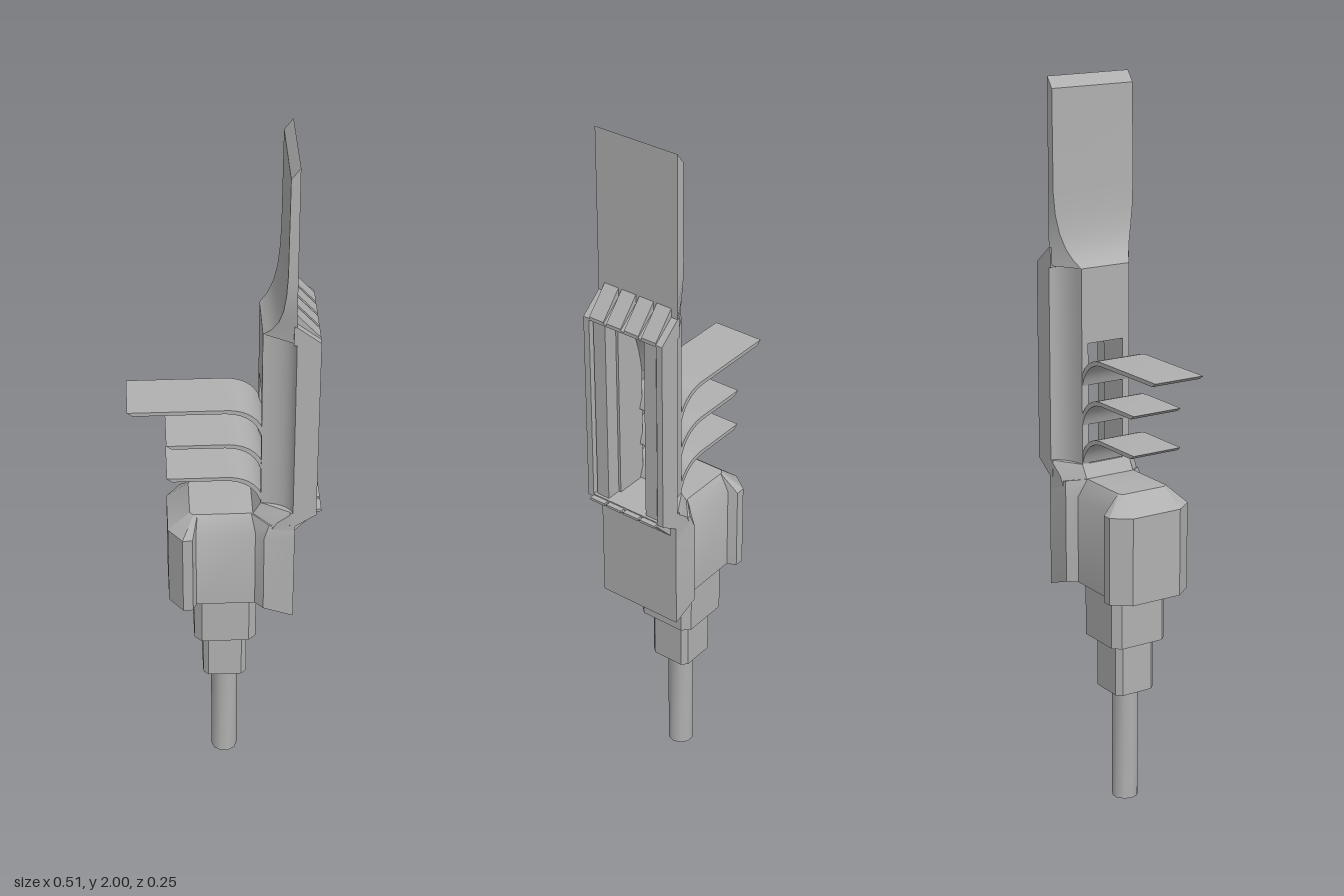
import * as THREE from 'three';
import { toCreasedNormals } from 'three/addons/utils/BufferGeometryUtils.js';

const grey = new THREE.MeshStandardMaterial({ color: 0xb0b0b0 });
grey.name = 'grey';

export function createModel() {
  const model = new THREE.Group();

  const add = (name, geometry, crease = 0.5) => {
    const g = geometry.index ? geometry.toNonIndexed() : geometry;
    const mesh = new THREE.Mesh(toCreasedNormals(g, crease), grey);
    mesh.name = name;
    model.add(mesh);
    return mesh;
  };

  // Closed loft through rings; each ring lists [x, y, z] on the +z half and is mirrored in z
  const loft = (halves) => {
    const m = halves[0].length, n = 2 * m, pos = [], idx = [];
    for (const half of halves) {
      for (const [x, y, z] of half) pos.push(x, y, z);
      for (const [x, y, z] of [...half].reverse()) pos.push(x, y, -z);
    }
    const quad = (a, b, c, d) => idx.push(a, b, c, a, c, d);
    for (let i = 0; i < halves.length - 1; i++)
      for (let j = 0; j < n; j++) {
        const k = (j + 1) % n;
        quad(i * n + j, i * n + k, (i + 1) * n + k, (i + 1) * n + j);
      }
    const top = (halves.length - 1) * n;
    for (let k = 0; k < m - 1; k++) {
      quad(top + k, top + k + 1, top + n - 2 - k, top + n - 1 - k);
      quad(n - 1 - k, n - 2 - k, k + 1, k);
    }
    const g = new THREE.BufferGeometry();
    g.setAttribute('position', new THREE.Float32BufferAttribute(pos, 3));
    g.setIndex(idx);
    return g;
  };

  // Side profile in x, y extruded along z
  const prism = (shape, width, z = 0) =>
    new THREE.ExtrudeGeometry(shape, { depth: width, bevelEnabled: false, curveSegments: 10 })
      .translate(0, 0, z - width / 2);
  const poly = (pts) => new THREE.Shape(pts.map(([x, y]) => new THREE.Vector2(x, y)));

  // Plan outline in x, z extruded upward
  const plan = (pts, y0, y1) =>
    new THREE.ExtrudeGeometry(poly(pts.map(([x, z]) => [x, -z])), { depth: y1 - y0, bevelEnabled: false })
      .rotateX(-Math.PI / 2).translate(0, y0, 0);

  const box = (x0, x1, y0, y1, z0, z1) =>
    new THREE.BoxGeometry(x1 - x0, y1 - y0, Math.abs(z1 - z0))
      .translate((x0 + x1) / 2, (y0 + y1) / 2, (z0 + z1) / 2);

  // Stepped shaft
  add('shaft', new THREE.CylinderGeometry(0.037, 0.037, 0.34, 10).rotateY(Math.PI / 2).translate(0, 0.17, 0), 0.7);
  const collar = (a) => {
    const b = a * 0.76;
    return [[a, b], [b, a], [-b, a], [-a, b], [-a, -b], [-b, -a], [b, -a], [a, -b]];
  };
  add('lowerCollar', plan(collar(0.061), 0.33, 0.48));
  add('upperCollar', plan(collar(0.086), 0.48, 0.64));

  // Lower body with recessed side panels and sloped shoulders
  const outline = [[-0.155, 0.075], [-0.117, 0.125], [-0.09, 0.125], [-0.08, 0.1], [0.08, 0.1], [0.102, 0.125], [0.184, 0.125]];
  add('body', loft([
    outline.map(([x, z], i) => [x, i === 6 ? 0.6 : 0.63, z]),
    outline.map(([x, z]) => [x, 0.875, z]),
    [[-0.095, 0.925, 0.065], [-0.085, 0.925, 0.075], [-0.08, 0.925, 0.075], [-0.075, 0.925, 0.075],
      [0.07, 0.925, 0.075], [0.115, 0.915, 0.118], [0.184, 0.9, 0.125]],
  ]));

  // Neck joining body and head
  add('neck', loft([
    [[0.055, 0.89, 0.075], [0.11, 0.88, 0.12], [0.184, 0.88, 0.125]],
    [[0.075, 0.925, 0.075], [0.135, 0.925, 0.122], [0.184, 0.925, 0.125]],
    [[0.095, 0.96, 0.075], [0.178, 0.96, 0.125], [0.184, 0.96, 0.125]],
  ]));

  // Head walls with concave flanks, rails and inner bars either side of the window
  for (const s of [1, -1]) {
    const flank = new THREE.QuadraticBezierCurve(
      new THREE.Vector2(0.095, 0.075), new THREE.Vector2(0.165, 0.082), new THREE.Vector2(0.178, 0.125));
    const pts = [[0.095, 0.055], ...flank.getPoints(8).map((p) => [p.x, p.y]), [0.19, 0.125], [0.19, 0.055]];
    add('headWall', plan(pts.map(([x, z]) => [x, s * z]), 0.955, 1.5));
    add('outerRail', box(0.185, 0.24, 0.955, 1.5, s * 0.107, s * 0.125));
    add('innerBar', box(0.185, 0.232, 0.955, 1.5, s * 0.062, s * 0.1));
  }

  // Curved upper back wall of the channel
  const duct = new THREE.Shape();
  duct.moveTo(0.095, 1.295);
  duct.quadraticCurveTo(0.115, 1.44, 0.178, 1.5);
  duct.lineTo(0.095, 1.5);
  add('channelWall', prism(duct, 0.12));

  // Curved vanes running out of the back
  for (const [tip, y] of [[-0.255, 1.265], [-0.155, 1.155], [-0.155, 1.047]]) {
    const vane = new THREE.Shape();
    vane.moveTo(tip, y);
    vane.lineTo(0.01, y);
    vane.quadraticCurveTo(0.088, y - 0.005, 0.106, y - 0.085);
    vane.lineTo(0.095, y - 0.085);
    vane.quadraticCurveTo(0.075, y - 0.014, 0, y - 0.011);
    vane.lineTo(tip + 0.015, y - 0.011);
    add('vane', prism(vane, 0.148));
  }

  // Blade flaring down into the head
  add('blade', loft([[1.5, 0.095, 0.075], [1.52, 0.115, 0.087], [1.55, 0.132, 0.1], [1.59, 0.143, 0.112],
    [1.64, 0.149, 0.121], [1.7, 0.152, 0.125], [1.97, 0.154, 0.125]]
    .map(([y, x, z], i) => [[x, y, z], [0.177, i === 6 ? 2 : y, 0.125]])));

  // Ridged end caps above and below the window
  add('topCap', prism(poly([[0.17, 1.495], [0.24, 1.495], [0.24, 1.5], [0.177, 1.55], [0.17, 1.55]]), 0.25));
  add('bottomCap', prism(poly([[0.17, 0.96], [0.24, 0.96], [0.24, 0.952], [0.184, 0.915], [0.17, 0.915]]), 0.25));
  for (const z of [-0.083, -0.028, 0.028, 0.083]) {
    add('topRidge', prism(poly([[0.17, 1.495], [0.24, 1.495], [0.24, 1.505], [0.177, 1.575], [0.17, 1.575]]), 0.045, z));
    add('bottomRidge', prism(poly([[0.17, 0.957], [0.245, 0.957], [0.245, 0.95], [0.184, 0.885], [0.17, 0.885]]), 0.045, z));
    add('lip', box(0.235, 0.255, 0.95, 0.957, z - 0.024, z + 0.024));
  }

  return model;
}
